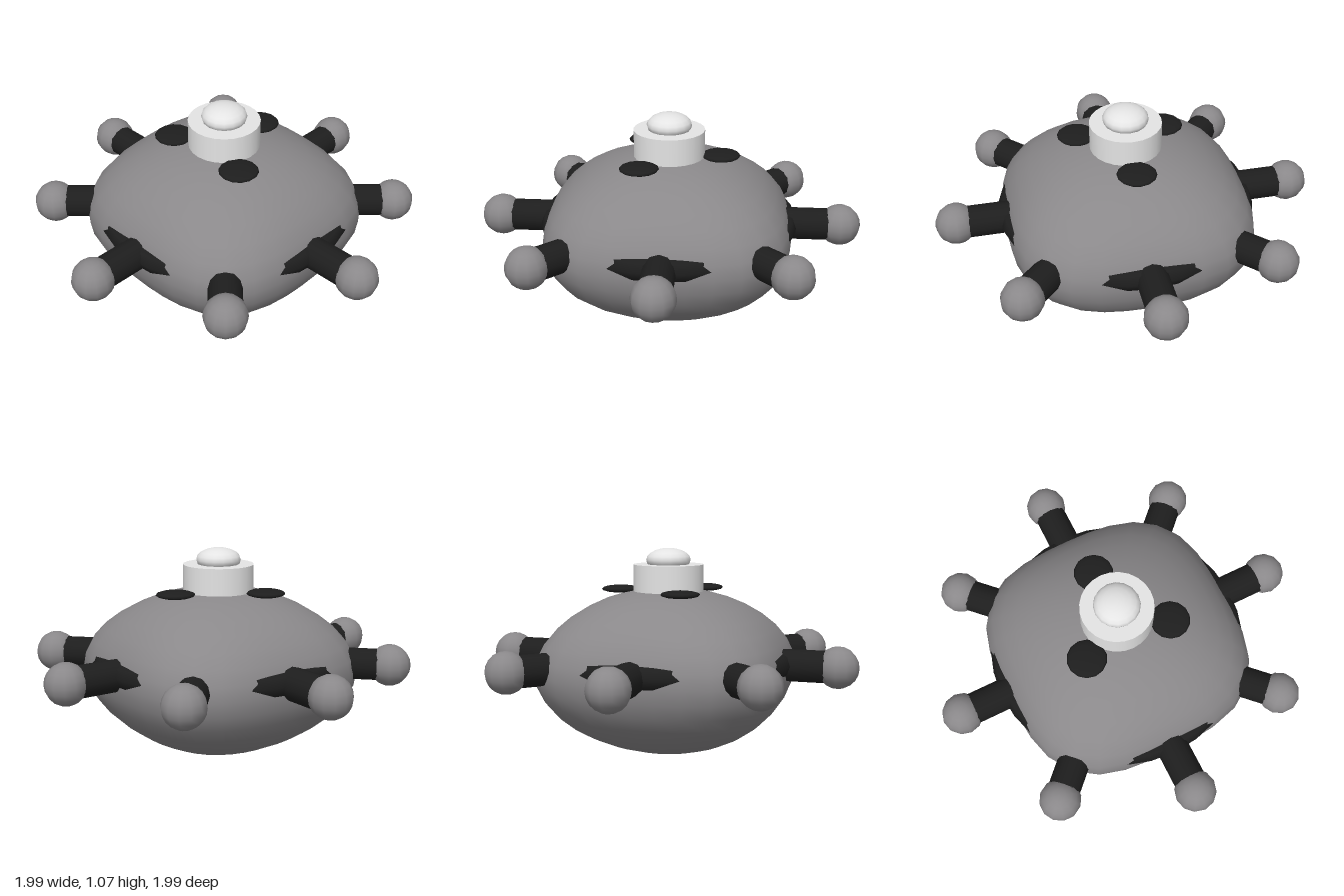
import * as THREE from 'three';
import { mergeVertices } from 'three/addons/utils/BufferGeometryUtils.js';

const paint = (name, color) => {
  const m = new THREE.MeshStandardMaterial({ color });
  m.name = name;
  return m;
};

// Rounded-square hull: squarish at the equator, rounder towards the poles
function hullGeometry() {
  const geo = new THREE.SphereGeometry(1, 32, 18);
  const pos = geo.attributes.position;
  const n = 3.1;
  for (let i = 0; i < pos.count; i++) {
    const x = pos.getX(i), y = pos.getY(i), z = pos.getZ(i);
    const r = Math.hypot(x, z);
    let k = 0;
    if (r > 1e-6) {
      const square = (Math.abs(x / r) ** n + Math.abs(z / r) ** n) ** (-1 / n);
      k = 0.64 * (1 + (square - 1) * r * r);
    }
    pos.setXYZ(i, x * k, 0.45 + y * (y > 0 ? 0.42 : 0.445), z * k);
  }
  geo.deleteAttribute('uv');
  geo.deleteAttribute('normal');
  const merged = mergeVertices(geo, 1e-5);
  merged.computeVertexNormals();
  return merged;
}

export function createModel() {
  const grey = paint('hull grey', 0x8a888a);
  const black = paint('black rubber', 0x1e1e1e);
  const white = paint('pale metal', 0xe4e4e4);
  const model = new THREE.Group();
  model.name = 'spikedMine';

  const add = (parent, name, geo, mat, x = 0, y = 0, z = 0) => {
    const mesh = new THREE.Mesh(geo, mat);
    mesh.name = name;
    mesh.position.set(x, y, z);
    parent.add(mesh);
    return mesh;
  };

  add(model, 'hull', hullGeometry(), grey);

  // Belt that breaks through the hull on its four flat sides
  const belt = new THREE.TorusGeometry(0.605, 0.065, 8, 32).rotateX(Math.PI / 2);
  add(model, 'belt', belt, black, 0, 0.495, 0);

  // Eight arms with ball tips
  const armGeo = new THREE.CylinderGeometry(0.083, 0.083, 0.38, 12).rotateZ(Math.PI / 2);
  const ballGeo = new THREE.SphereGeometry(0.107, 12, 10);
  for (let i = 0; i < 8; i++) {
    const spike = new THREE.Group();
    spike.name = 'spike' + (i + 1);
    spike.position.y = 0.49;
    spike.rotation.y = (i * Math.PI) / 4;
    add(spike, 'arm', armGeo, black, 0.67);
    add(spike, 'ballTip', ballGeo, grey, 0.89);
    model.add(spike);
  }

  // Top fitting
  add(model, 'pedestal', new THREE.CylinderGeometry(0.183, 0.183, 0.17, 24), white, 0, 0.905, 0);
  const cap = new THREE.SphereGeometry(0.116, 16, 10).scale(1, 0.53, 1);
  add(model, 'cap', cap, white, 0, 1.013, 0);

  // Three flat pads around the fitting
  const padGeo = new THREE.SphereGeometry(0.1, 14, 8).scale(1, 0.2, 1);
  for (let i = 0; i < 3; i++) {
    const a = (i * Math.PI * 2) / 3;
    add(model, 'pad' + (i + 1), padGeo, black, 0.265 * Math.cos(a), 0.856, 0.265 * Math.sin(a));
  }
  return model;
}
